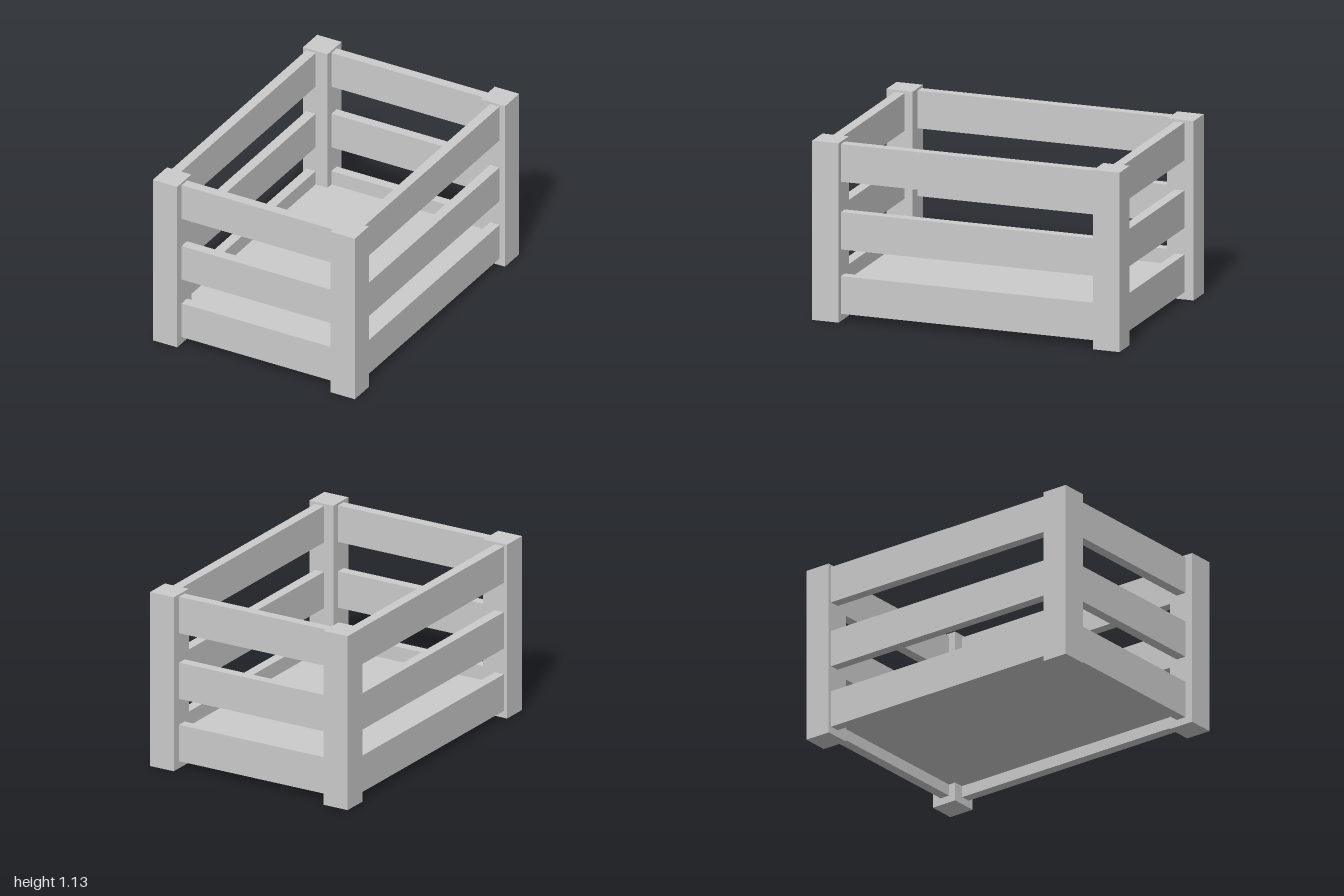
import * as THREE from 'three';

export function createModel() {
  const group = new THREE.Group();
  const material = new THREE.MeshStandardMaterial({ color: 0xcccccc, flatShading: true });

  // Box given by its extents along each axis
  function box(name, [x0, x1], [y0, y1], [z0, z1]) {
    const mesh = new THREE.Mesh(new THREE.BoxGeometry(x1 - x0, y1 - y0, z1 - z0), material);
    mesh.position.set((x0 + x1) / 2, (y0 + y1) / 2, (z0 + z1) / 2);
    mesh.name = name;
    group.add(mesh);
  }

  const postX = 0.536, postZ = 0.828; // inner faces of the corner posts

  // Corner posts
  for (const sx of [-1, 1]) {
    for (const sz of [-1, 1]) {
      const x = [postX * sx, 0.707 * sx].sort((a, b) => a - b);
      const z = [postZ * sz, sz].sort((a, b) => a - b);
      box(`${sz > 0 ? 'front' : 'back'}${sx > 0 ? 'Left' : 'Right'}Post`, x, [0, 1.13], z);
    }
  }

  // Three tiers of slats between the posts
  const tiers = { lower: [0.046, 0.283], middle: [0.451, 0.687], upper: [0.878, 1.115] };
  for (const [tier, y] of Object.entries(tiers)) {
    box(`${tier}FrontSlat`, [-postX, postX], y, [0.881, 0.947]);
    box(`${tier}BackSlat`, [-postX, postX], y, [-0.94, -0.876]);
    box(`${tier}LeftSlat`, [0.603, 0.668], y, [-postZ, postZ]);
    box(`${tier}RightSlat`, [-0.684, -0.619], y, [-postZ, postZ]);
  }

  // Floor panel held inside the lower slats
  box('floorPanel', [-0.619, 0.603], [0.12, 0.19], [-0.876, 0.881]);

  return group;
}
